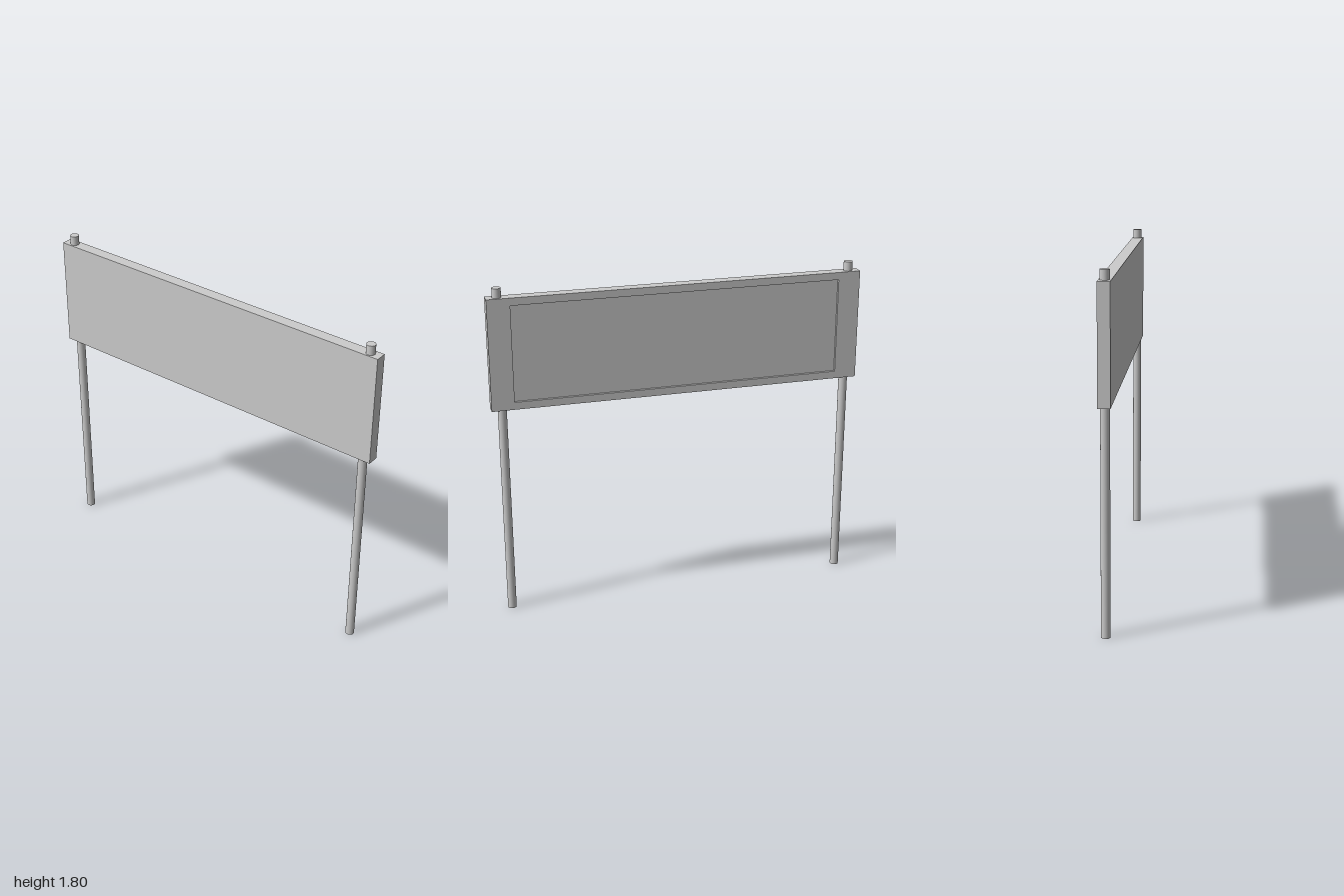
import * as THREE from 'three';

const material = new THREE.MeshStandardMaterial({ color: 0xcccccc });

function rectangle(Type, halfWidth, bottom, top) {
  return new Type([
    new THREE.Vector2(-halfWidth, bottom),
    new THREE.Vector2(halfWidth, bottom),
    new THREE.Vector2(halfWidth, top),
    new THREE.Vector2(-halfWidth, top),
  ]);
}

export function createModel() {
  const group = new THREE.Group();
  const bottom = 1.155, top = 1.75, halfDepth = 0.031, recess = 0.014, margin = 0.04;

  const add = (name, geometry, x, y, z) => {
    const mesh = new THREE.Mesh(geometry, material);
    mesh.name = name;
    mesh.position.set(x, y, z);
    group.add(mesh);
  };

  // Solid front board
  const boardDepth = 2 * halfDepth - recess;
  add('board', new THREE.BoxGeometry(2, top - bottom, boardDepth),
    0, (top + bottom) / 2, halfDepth - boardDepth / 2);

  // Raised rim around the shallow recess on the back
  const rim = rectangle(THREE.Shape, 1, bottom, top);
  rim.holes.push(rectangle(THREE.Path, 0.88, bottom + margin, top - margin));
  add('backRim', new THREE.ExtrudeGeometry(rim, { depth: recess, bevelEnabled: false }),
    0, 0, -halfDepth);

  // Round posts passing up through the board
  const post = new THREE.CylinderGeometry(0.0235, 0.0235, 1.8, 20);
  add('leftPost', post, 0.942, 0.9, 0);
  add('rightPost', post, -0.942, 0.9, 0);

  return group;
}
